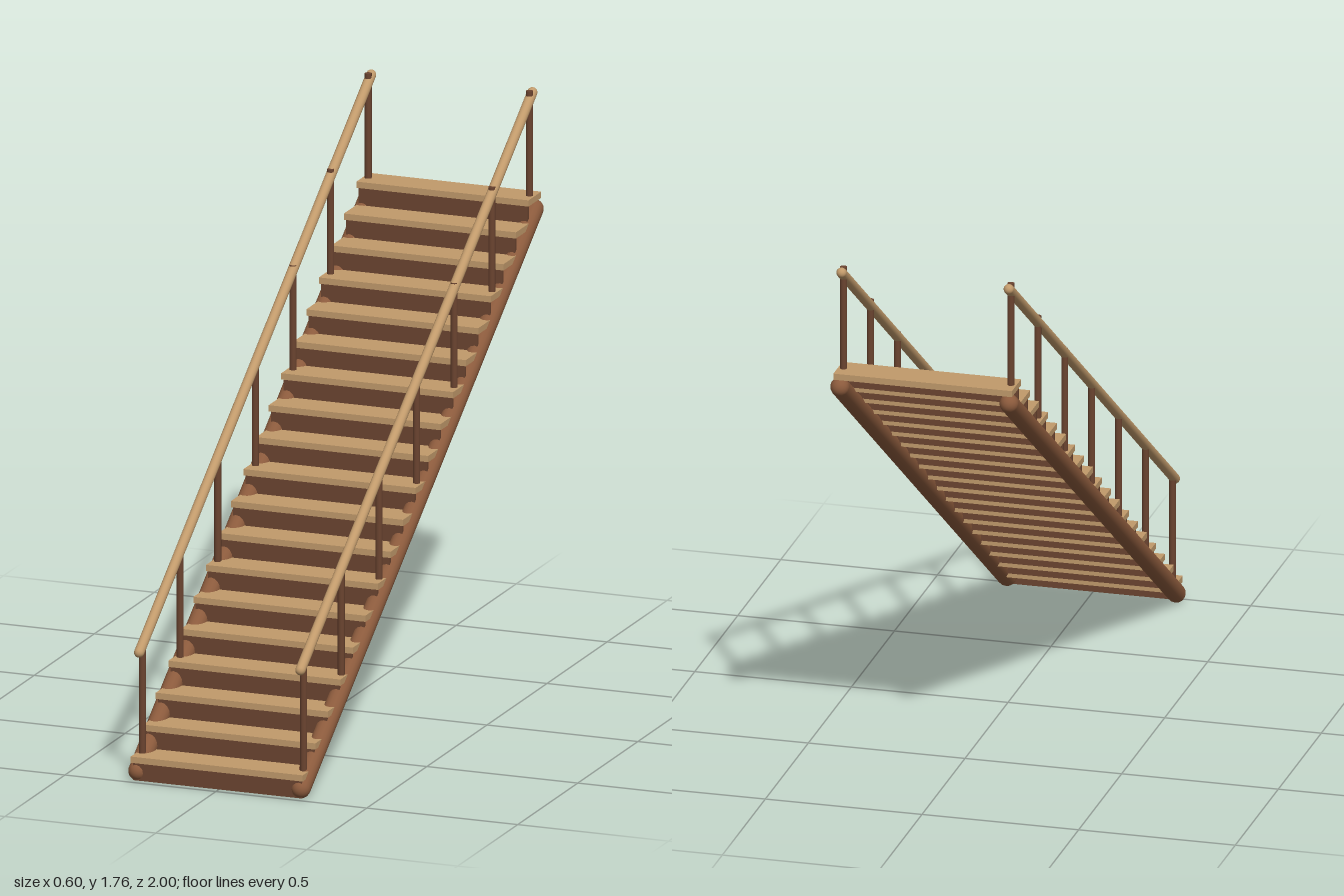
import * as THREE from 'three';

const STEPS = 19, RUN = 0.1044, RISE = 0.0745;
const treadZ = i => 0.94 - RUN * i;
const treadTop = i => 0.085 + RISE * i;

const mat = color => new THREE.MeshStandardMaterial({ color });

export function createModel() {
  const group = new THREE.Group();
  group.name = 'staircase';
  const tan = mat(0xc19a6b), brown = mat(0x8b5a3c), dark = mat(0x6b4430);

  const add = (name, geometry, material, x, y, z) => {
    const mesh = new THREE.Mesh(geometry, material);
    mesh.name = name;
    mesh.position.set(x, y, z);
    group.add(mesh);
    return mesh;
  };

  // Round-ended pole between two points
  const pole = (name, a, b, r, material) => {
    const dir = b.clone().sub(a);
    const mid = a.clone().add(b).multiplyScalar(0.5);
    const mesh = add(name, new THREE.CapsuleGeometry(r, dir.length(), 5, 16), material, mid.x, mid.y, mid.z);
    mesh.quaternion.setFromUnitVectors(new THREE.Vector3(0, 1, 0), dir.normalize());
  };

  // Treads and the risers under their front edges
  const treadGeo = new THREE.BoxGeometry(0.57, 0.02, 0.106);
  const riserGeo = new THREE.BoxGeometry(0.56, 0.06, 0.01);
  for (let i = 0; i < STEPS; i++) {
    add('tread', treadGeo, tan, 0, treadTop(i) - 0.01, treadZ(i));
    add('riser', riserGeo, dark, 0, treadTop(i) - 0.046, treadZ(i) + 0.043);
  }

  // Log stringers, handrails and posts on both sides
  const postGeo = new THREE.CylinderGeometry(0.011, 0.011, 0.335, 12);
  for (const s of [-1, 1]) {
    pole('stringer', new THREE.Vector3(s * 0.27, 0.035, 0.97),
      new THREE.Vector3(s * 0.27, 1.376, -0.97), 0.03, brown);
    pole('handrail', new THREE.Vector3(s * 0.267, 0.413, 0.967),
      new THREE.Vector3(s * 0.267, 1.75, -0.963), 0.016, tan);
    for (let i = 0; i < STEPS; i += 3) {
      add('post', postGeo, dark, s * 0.267, treadTop(i) + 0.1675, treadZ(i));
    }
  }
  return group;
}
